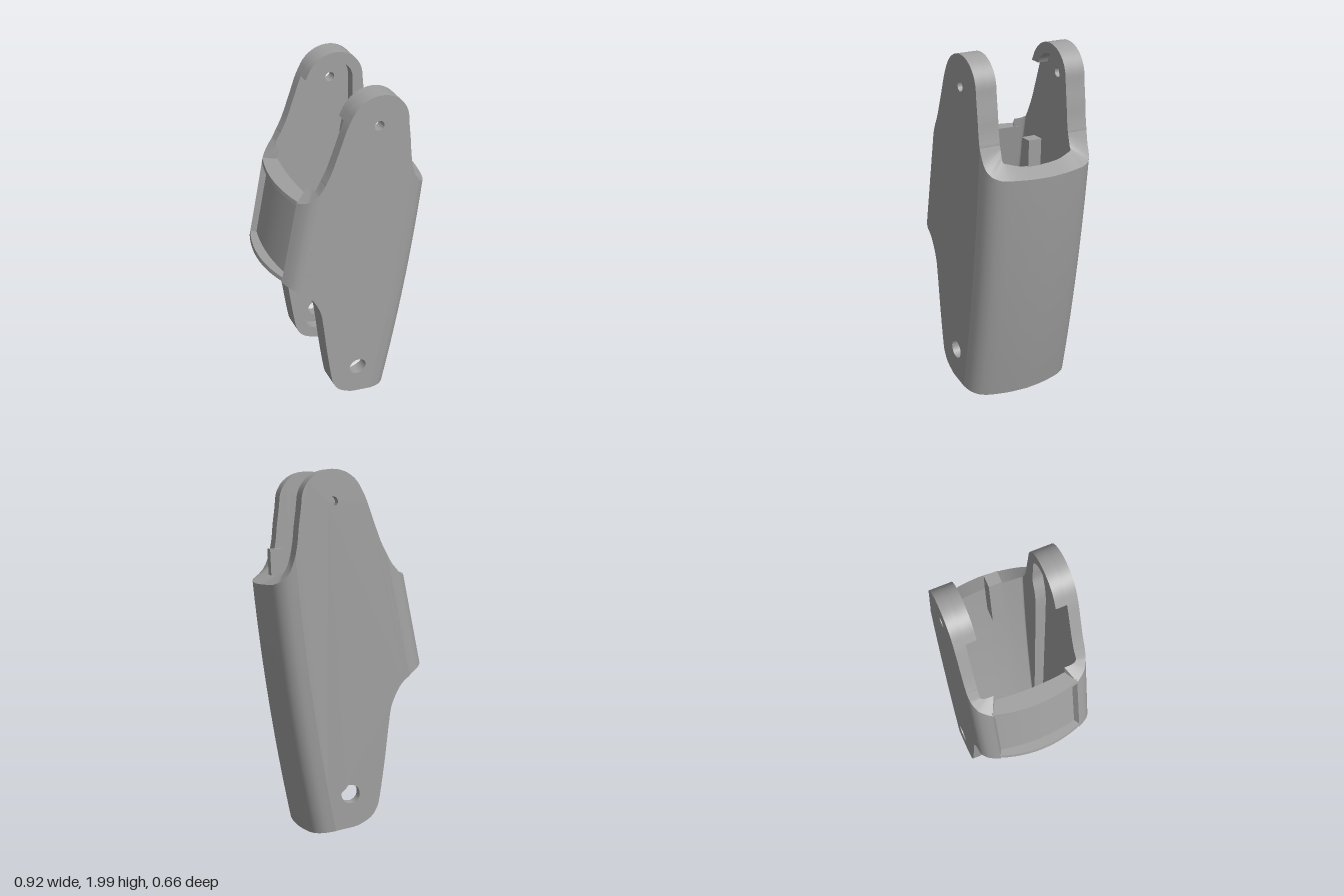
import * as THREE from 'three';
import { mergeGeometries, toCreasedNormals } from 'three/addons/utils/BufferGeometryUtils.js';

const V2 = (x, y) => new THREE.Vector2(x, y);
const spline = (pts, n) => new THREE.SplineCurve(pts.map(p => V2(...p))).getPoints(n);

function arc(cx, cy, r, from, to, n = 24) {
  const out = [];
  for (let i = 0; i <= n; i++) {
    const a = THREE.MathUtils.degToRad(from + (to - from) * i / n);
    out.push(V2(cx + r * Math.cos(a), cy + r * Math.sin(a)));
  }
  return out;
}

// Piecewise linear function through points sorted by x
const lookup = pts => x => {
  if (x <= pts[0][0]) return pts[0][1];
  for (let i = 1; i < pts.length; i++) {
    const [a, b] = [pts[i - 1], pts[i]];
    if (x <= b[0]) return a[1] + (b[1] - a[1]) * (x - a[0]) / (b[0] - a[0]);
  }
  return pts[pts.length - 1][1];
};

// Edge lines of the shell: curved on +x, straight and leaning on -x
const rightX = y => 0.246 + 0.208 * y - 0.0395 * y * y;
const leftX = y => -0.616 + 0.204 * y;

// Smooth surface from columns of points
function grid(cols, flip = false) {
  const rows = cols[0].length, pos = [], idx = [];
  cols.forEach(c => c.forEach(p => pos.push(p.x, p.y, p.z)));
  for (let i = 0; i < cols.length - 1; i++) {
    for (let j = 0; j < rows - 1; j++) {
      const a = i * rows + j, b = a + rows, c = b + 1, d = a + 1;
      if (flip) idx.push(a, c, b, a, d, c);
      else idx.push(a, b, c, a, c, d);
    }
  }
  const g = new THREE.BufferGeometry();
  g.setAttribute('position', new THREE.Float32BufferAttribute(pos, 3));
  g.setIndex(idx);
  g.computeVertexNormals();
  return g;
}

// Curved wall: profiles hold (inset from edge line, z); top and bottom are heights by x
function wall(outer, inner, edgeX, inward, bottom, top) {
  const column = p => {
    const xAt = y => edgeX(y) + inward * p.x;
    const solve = f => {
      let y = 1;
      for (let i = 0; i < 40; i++) y = f(xAt(y));
      return y;
    };
    const y0 = solve(bottom), y1 = solve(top), out = [];
    for (let j = 0; j <= 24; j++) {
      const y = y0 + (y1 - y0) * j / 24;
      out.push(new THREE.Vector3(xAt(y), y, p.y));
    }
    return out;
  };
  const o = outer.map(column), n = inner.map(column), last = o.length - 1;
  return mergeGeometries([
    grid(o),
    grid(n, true),
    grid(o.map((c, i) => [c[24], n[i][24]])),
    grid(o.map((c, i) => [c[0], n[i][0]]), true),
    grid([n[0], o[0]]),
    grid([o[last], n[last]]),
  ]);
}

// Mirror a half profile that ends at z = 0
const mirrored = half => [...half, ...half.slice(0, -1).reverse().map(p => V2(p.x, -p.y))];

export function createModel() {
  const model = new THREE.Group();
  const grey = new THREE.MeshStandardMaterial({ color: 0xa0a0a0 });
  grey.name = 'grey';
  const add = (name, geometry) => {
    const m = new THREE.Mesh(geometry, grey);
    m.name = name;
    model.add(m);
    return m;
  };
  const extrude = (shape, z, depth) => {
    const g = new THREE.ExtrudeGeometry(shape, { depth, bevelEnabled: false, curveSegments: 24 });
    g.translate(0, 0, z);
    return toCreasedNormals(g, 0.5);
  };

  // Outline pieces of the flat cheek plates
  const rightEdge = [];
  for (let i = 0; i <= 24; i++) {
    const y = 0.037 + (1.55 - 0.037) * i / 24;
    rightEdge.push(V2(rightX(y) - 0.17, y));
  }
  const earRight = spline([[0.303, 1.55], [0.292, 1.62], [0.285, 1.7], [0.275, 1.78]], 10).slice(1);
  const earTop = arc(0.1, 1.83, 0.17, 0, 150);
  const earLeft = spline([[-0.047, 1.915], [-0.08, 1.85], [-0.12, 1.74], [-0.165, 1.62], [-0.2, 1.55]], 16).slice(1);
  const lowerLeft = spline([[-0.336, 0.885], [-0.283, 0.833], [-0.235, 0.73], [-0.218, 0.627],
    [-0.195, 0.42], [-0.167, 0.214], [-0.15, 0.15], [-0.115, 0.1], [-0.05, 0.062], [0, 0.05]], 40);

  // Outer skin with pivot holes
  const skin = new THREE.Shape([...rightEdge, ...earRight, ...earTop, ...earLeft, ...lowerLeft]);
  for (const [x, y, r] of [[0.1, 1.83, 0.027], [0, 0.24, 0.052]]) {
    skin.holes.push(new THREE.Path().absarc(x, y, r, 0, Math.PI * 2, true));
  }

  // Raised inner rim around the recessed channel, open beside the ear
  const rim = new THREE.Shape([
    ...lowerLeft, ...rightEdge, ...earRight, ...earTop, V2(-0.07, 1.87),
    ...arc(0.1, 1.83, 0.11, 160, 0),
    ...spline([[0.21, 1.76], [0.21, 1.66], [0.175, 1.56], [0.155, 1.4], [0.13, 0.8], [0.11, 0.32]], 30),
    ...arc(0, 0.24, 0.11, 0, -180),
    ...spline([[-0.115, 0.32], [-0.145, 0.68], [-0.19, 0.83], [-0.26, 0.92], [-0.322, 0.95]], 24),
  ]);
  for (const [side, s] of [['left', 1], ['right', -1]]) {
    add(side + 'CheekSkin', extrude(skin, s > 0 ? 0.27 : -0.33, 0.06));
    add(side + 'CheekRim', extrude(rim, s > 0 ? 0.21 : -0.27, 0.06));
  }

  // Bowed main wall with rounded corners
  const wallOuter = mirrored(spline([[0.17, 0.33], [0.11, 0.315], [0.07, 0.288], [0.045, 0.25],
    [0.028, 0.2], [0.008, 0.1], [0, 0]], 30));
  const wallInner = mirrored(spline([[0.17, 0.21], [0.155, 0.21], [0.14, 0.21], [0.132, 0.208],
    [0.126, 0.19], [0.107, 0.1], [0.1, 0]], 30));
  const notch = lookup([[0.292, 1.62], [0.303, 1.55], [0.325, 1.474], [0.35, 1.435],
    [0.378, 1.41], [0.41, 1.393], [0.458, 1.384]]);
  add('mainWall', wall(wallOuter, wallInner, rightX, -1, x => 0.05 - 0.17 * x, notch));

  // Rounded corners joining the cheeks to the strap
  const cornerTop = lookup([[-0.36, 1.43], [-0.325, 1.426], [-0.28, 1.45], [-0.23, 1.5], [-0.2, 1.55]]);
  const cornerBottom = lookup([[-0.465, 0.95], [-0.42, 0.937], [-0.35, 0.9], [-0.283, 0.833], [-0.235, 0.73]]);
  const cornerOuter = spline([[0, 0.24], [0.02, 0.275], [0.045, 0.305], [0.075, 0.323], [0.1, 0.33]], 16);
  const cornerInner = spline([[0.07, 0.2], [0.07, 0.22], [0.072, 0.25], [0.08, 0.27], [0.1, 0.27]], 16);
  const back = pts => pts.map(p => V2(p.x, -p.y)).reverse();
  add('leftCorner', wall(cornerOuter, cornerInner, leftX, 1, cornerBottom, cornerTop));
  add('rightCorner', wall(back(cornerOuter), back(cornerInner), leftX, 1, cornerBottom, cornerTop));

  // Recessed strap panel between two thin bowed flanges
  const bow = (edge, middle) => {
    const out = [];
    for (let i = 0; i <= 20; i++) {
      const t = i / 10 - 1;
      out.push(V2(middle + (edge - middle) * t * t, 0.24 * t));
    }
    return out;
  };
  const strapInner = bow(0.078, 0.06);
  const strap = (name, edge, middle, y0, y1) =>
    add(name, wall(bow(edge, middle), strapInner, leftX, 1, () => y0, () => y1));
  strap('strapPanel', 0.035, 0.008, 0.96, 1.425);
  strap('strapTopFlange', 0, -0.036, 1.415, 1.437);
  strap('strapBottomFlange', 0, -0.044, 0.948, 0.972);

  // Small upright tab on the inside of the main wall
  const tab = new THREE.Shape([V2(0.355, 1.2), V2(0.37, 1.57), V2(0.3, 1.57), V2(0.26, 1.2)]);
  add('innerTab', extrude(tab, 0, 0.075));

  return model;
}
